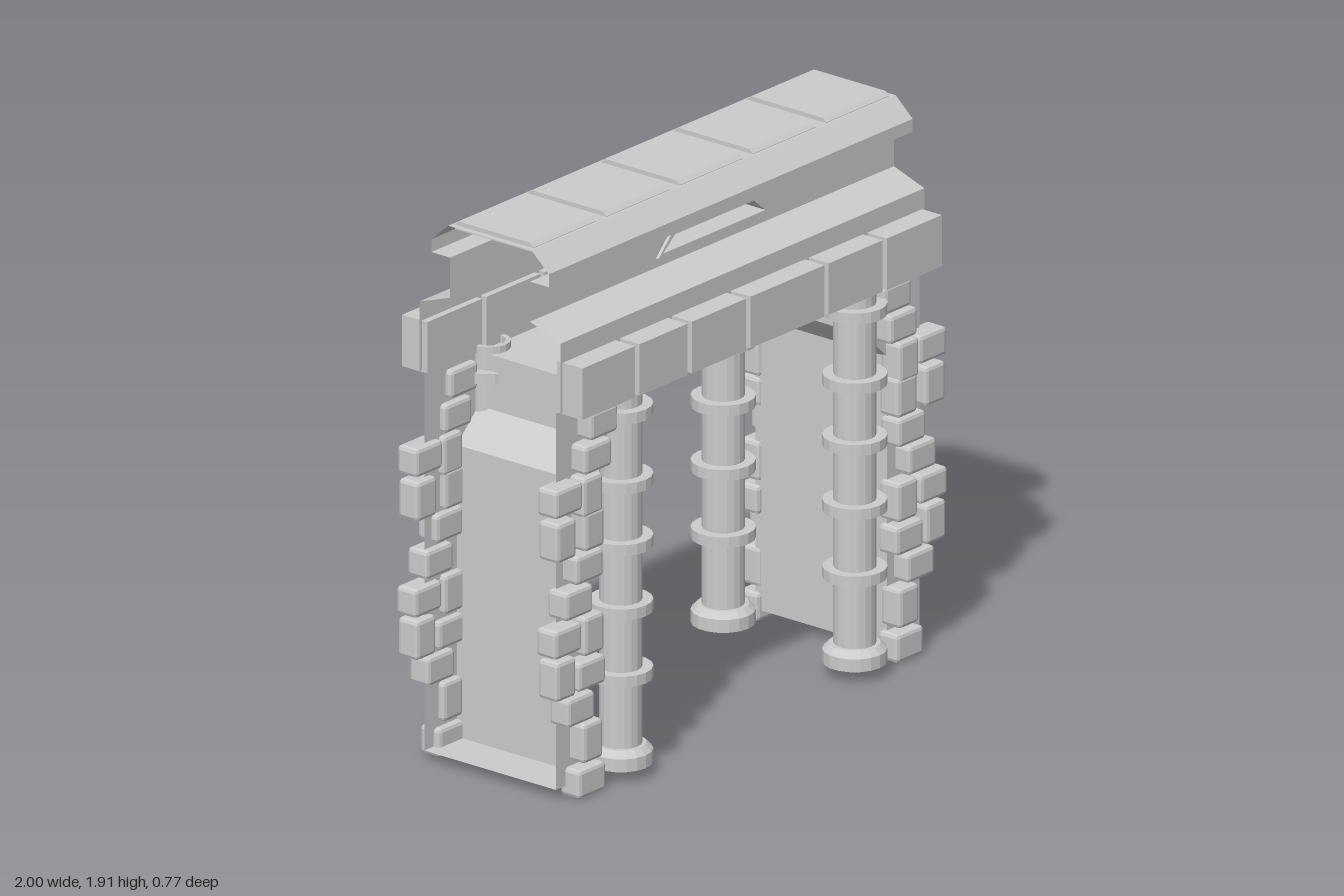
import * as THREE from 'three';
import { RoundedBoxGeometry } from 'three/addons/geometries/RoundedBoxGeometry.js';

const solid = new THREE.MeshStandardMaterial({ color: 0xcccccc, flatShading: true });
const sheet = new THREE.MeshStandardMaterial({ color: 0xcccccc, flatShading: true, side: THREE.DoubleSide });

function add(parent, name, geometry, material = solid, x = 0, y = 0, z = 0) {
  const mesh = new THREE.Mesh(geometry, material);
  mesh.name = name;
  mesh.position.set(x, y, z);
  parent.add(mesh);
  return mesh;
}

// Open sheet: a 2D profile swept along local z from -half to half
function ribbon(profile, half) {
  const pos = [];
  for (let i = 0; i < profile.length - 1; i++) {
    const [ax, ay] = profile[i], [bx, by] = profile[i + 1];
    pos.push(ax, ay, half, bx, by, half, bx, by, -half);
    pos.push(ax, ay, half, bx, by, -half, ax, ay, -half);
  }
  const g = new THREE.BufferGeometry();
  g.setAttribute('position', new THREE.Float32BufferAttribute(pos, 3));
  g.computeVertexNormals();
  return g;
}

const shapeOf = pts => new THREE.Shape(pts.map(p => new THREE.Vector2(...p)));

function prism(shape, depth) {
  const g = new THREE.ExtrudeGeometry(shape, { depth, bevelEnabled: false });
  return g.translate(0, 0, -depth / 2);
}

// Slot outline, grown outwards by d
const slot = d => [[-0.26 - 2 * d, 1.695 - d], [0.26 + 2 * d, 1.695 - d], [0.2 + d, 1.745 + d], [-0.2 - d, 1.745 + d]];

function slotRing(outer, depth) {
  const s = shapeOf(slot(outer));
  s.holes.push(shapeOf(slot(0)));
  return prism(s, depth);
}

// Facing stones of one pier corner: centre x, centre y, upright or not
const STONES = [
  [0.747, 1.288, 0], [0.776, 1.176, 0], [0.925, 1.064, 0], [0.803, 1.048, 1], [0.937, 0.927, 1],
  [0.795, 0.927, 1], [0.819, 0.803, 0], [0.872, 0.692, 0], [0.929, 0.574, 0], [0.797, 0.561, 1],
  [0.94, 0.443, 1], [0.808, 0.427, 0], [0.864, 0.317, 0], [0.803, 0.189, 1], [0.808, 0.053, 0],
];

function columnGeometry() {
  const r = 0.071, R = 0.107;
  const pts = [[0.075, 0.045], [R, 0.045], [R, 0.09], [0.085, 0.112], [r, 0.112]];
  for (const y of [0.36, 0.595, 0.82, 1.035, 1.28]) {
    pts.push([r, y - 0.019], [R, y - 0.019], [R, y + 0.019], [r, y + 0.019]);
  }
  pts.push([r, 1.38], [0.055, 1.38], [0.055, 0.06], [0.075, 0.045]);
  return new THREE.LatheGeometry(pts.map(p => new THREE.Vector2(...p)), 18);
}

export function createModel() {
  const model = new THREE.Group();
  model.name = 'gateway';

  // Piers: niches open to the outside, with a flared inner wall
  const inner = [[0.925, 0.04], [0.76, 0.04], [0.76, 1.06], [0.65, 1.165], [0.65, 1.355]];
  const innerWall = ribbon(inner, 0.28);
  const sideWall = new THREE.ShapeGeometry(shapeOf([...inner, [0.925, 1.355]]));
  const column = columnGeometry();
  const flatStone = new RoundedBoxGeometry(0.138, 0.1, 0.085, 1, 0.014);
  const uprightStone = new RoundedBoxGeometry(0.1, 0.138, 0.085, 1, 0.014);
  for (const sx of [1, -1]) {
    const pier = new THREE.Group();
    pier.name = sx > 0 ? 'leftPier' : 'rightPier';
    pier.scale.x = sx;
    model.add(pier);
    add(pier, 'innerWall', innerWall, sheet);
    for (const sz of [1, -1]) {
      add(pier, 'sideWall', sideWall, sheet, 0, 0, 0.28 * sz);
      add(pier, 'column', column, solid, 0.595, 0, 0.28 * sz);
      for (const [x, y, upright] of STONES) {
        add(pier, 'facingStone', upright ? uprightStone : flatStone, solid, x, y, 0.298 * sz);
      }
    }
  }

  // Ceiling between the piers
  add(model, 'ceiling', new THREE.PlaneGeometry(1.3, 0.6).rotateX(Math.PI / 2), sheet, 0, 1.355, 0);

  // Entablature: open-ended shell, swept along x
  const roof = [[0.17, 1.79], [0.25, 1.79], [0.25, 1.835], [0.178, 1.9]];
  const roofProfile = [...roof, ...roof.map(([z, y]) => [-z, y]).reverse()];
  add(model, 'roofShell', ribbon(roofProfile, 0.925), sheet).rotation.y = Math.PI / 2;

  const panel = shapeOf([[-0.925, 1.65], [0.925, 1.65], [0.925, 1.79], [-0.925, 1.79]]);
  panel.holes.push(shapeOf(slot(0.004)));
  const panelGeometry = new THREE.ShapeGeometry(panel);
  const cornice = ribbon([[0.17, 1.65], [0.3, 1.605], [0.3, 1.36]], 0.925);
  const joints = [-0.925, -0.634, -0.368, -0.07, 0.328, 0.624, 0.925];
  for (const side of [0, 1]) {
    const half = new THREE.Group();
    half.name = side ? 'backEntablature' : 'frontEntablature';
    half.rotation.y = Math.PI * side;
    model.add(half);
    add(half, 'upperPanel', panelGeometry, sheet, 0, 0, 0.17);
    add(half, 'cornice', cornice, sheet).rotation.y = -Math.PI / 2;
    add(half, 'slotFrame', slotRing(0.012, 0.015), solid, 0, 0, 0.173);
    // Lintel blocks
    for (let i = 0; i < joints.length - 1; i++) {
      const a = joints[i], b = joints[i + 1];
      add(half, 'lintelBlock', new THREE.BoxGeometry(b - a - 0.022, 0.18, 0.107), solid, (a + b) / 2, 1.445, 0.33);
    }
  }

  // Slot lining running through the entablature
  add(model, 'slotLining', slotRing(0.004, 0.34));

  // Roof slabs with chamfered long edges
  const slab = prism(shapeOf([[-0.167, 1.885], [0.167, 1.885], [0.167, 1.902], [0.152, 1.915], [-0.152, 1.915], [-0.167, 1.902]]), 0.32);
  slab.rotateY(Math.PI / 2);
  for (let i = -2; i <= 2; i++) add(model, 'roofSlab', slab, solid, i * 0.372, 0, 0);

  // The cornice ribbons sweep along z locally, so turn each to face outwards
  model.traverse(o => {
    if (o.name === 'cornice') o.rotation.y = -Math.PI / 2;
  });
  return model;
}
